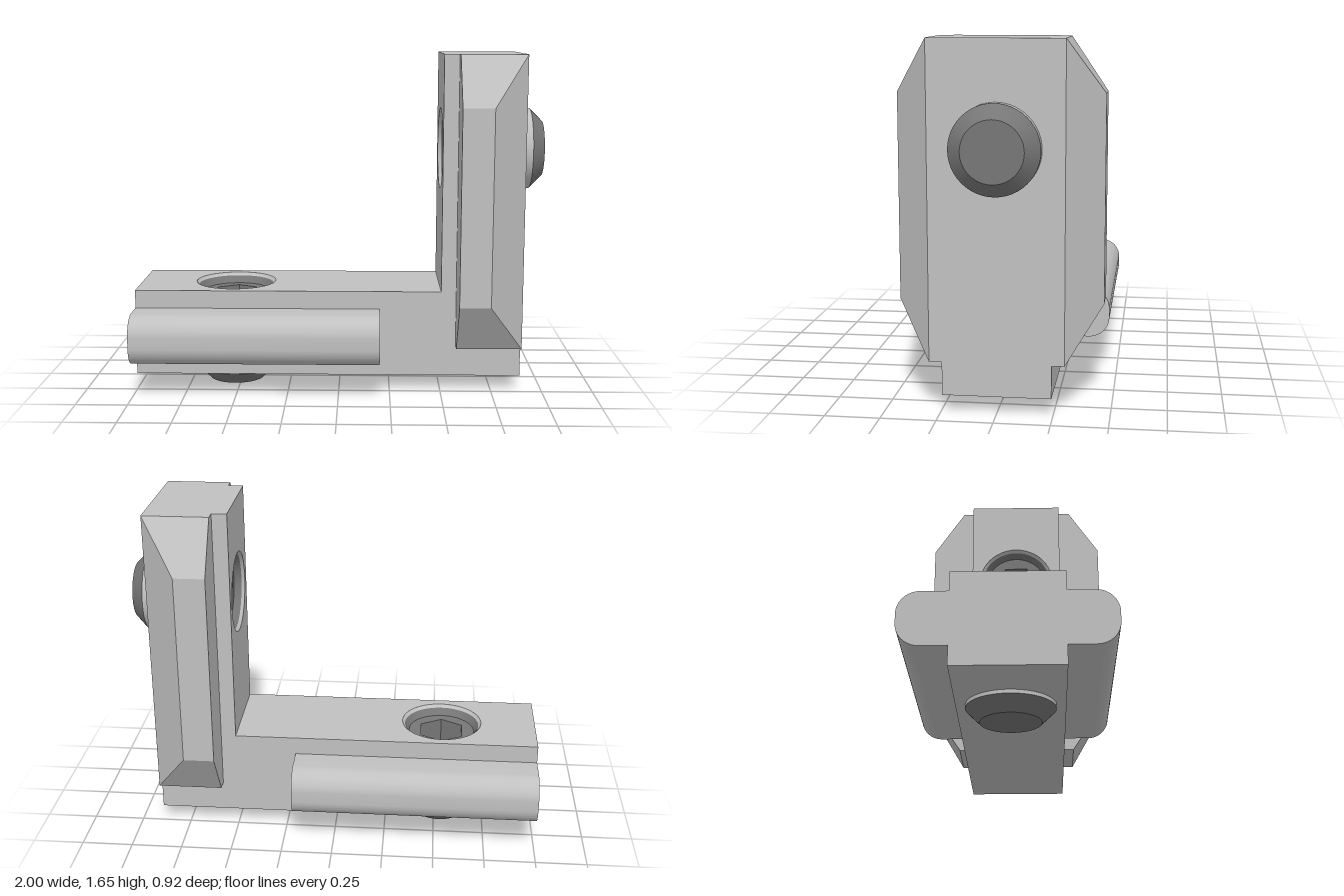
import * as THREE from 'three';
import { mergeGeometries, toCreasedNormals } from 'three/addons/utils/BufferGeometryUtils.js';
import { ConvexGeometry } from 'three/addons/geometries/ConvexGeometry.js';

const SCREW_R = 0.2;

function addMesh(parent, name, geometry, material) {
  const mesh = new THREE.Mesh(geometry, material);
  mesh.name = name;
  parent.add(mesh);
  return mesh;
}

// Rectangular plate with one screw hole, extruded along z
function drilledPlate(u0, u1, v0, v1, holeU, holeV, depth) {
  const shape = new THREE.Shape([[u0, v0], [u1, v0], [u1, v1], [u0, v1]].map(p => new THREE.Vector2(...p)));
  shape.holes.push(new THREE.Path().absarc(holeU, holeV, SCREW_R, 0, Math.PI * 2, true));
  return new THREE.ExtrudeGeometry(shape, { depth, bevelEnabled: false, curveSegments: 48 });
}

// Revolved bands with a sharp edge between each pair of profile points
function bands(profile, sides = 48) {
  const parts = [];
  for (let i = 0; i < profile.length - 1; i++) {
    const pts = [profile[i], profile[i + 1]].map(p => new THREE.Vector2(...p));
    let g = new THREE.LatheGeometry(pts, sides).toNonIndexed();
    if (sides < 12) g.computeVertexNormals();
    parts.push(g);
  }
  return mergeGeometries(parts);
}

// Set screw: top face at y = 0, pointed end at y = -0.5
function createScrew(bodyMat, screwMat) {
  const screw = new THREE.Group();
  screw.name = 'setScrew';
  addMesh(screw, 'shank', bands([[SCREW_R, -0.437], [SCREW_R, 0], [0.187, -0.015]]), bodyMat);
  addMesh(screw, 'screwTip', bands([[0, -0.5], [0.137, -0.5], [SCREW_R, -0.437]]), screwMat);
  addMesh(screw, 'headChamfer', bands([[0.187, -0.015], [0.165, -0.05]]), screwMat);

  // Head face with hexagonal socket
  const face = new THREE.Shape().absarc(0, 0, 0.165, 0, Math.PI * 2);
  const hex = [];
  for (let i = 0; i < 6; i++) {
    const a = i * Math.PI / 3;
    hex.push(new THREE.Vector2(0.12 * Math.sin(a), 0.12 * Math.cos(a)));
  }
  face.holes.push(new THREE.Path(hex));
  const head = new THREE.ShapeGeometry(face, 48).rotateX(-Math.PI / 2).translate(0, -0.05, 0);
  addMesh(screw, 'headFace', head, screwMat);
  addMesh(screw, 'hexSocket', bands([[0.12, -0.05], [0.12, -0.17], [0, -0.21]], 6), screwMat);
  return screw;
}

export function createModel() {
  const model = new THREE.Group();
  model.name = 'cornerBracket';
  const bodyMat = new THREE.MeshStandardMaterial({ color: 0xc0c0c0 });
  bodyMat.name = 'light grey metal';
  const screwMat = new THREE.MeshStandardMaterial({ color: 0x777777 });
  screwMat.name = 'dark grey steel';

  // Horizontal and upright arms
  addMesh(model, 'horizontalArm',
    drilledPlate(-1, 0.89, -0.243, 0.243, -0.527, 0, 0.42).rotateX(-Math.PI / 2).translate(0, 0.08, 0), bodyMat);
  addMesh(model, 'uprightArm',
    drilledPlate(-0.243, 0.243, 0.5, 1.65, 0, 1.18, 0.39).rotateY(Math.PI / 2).translate(0.5, 0, 0), bodyMat);

  // Rounded side rail section, mirrored by half a turn about x
  const r = 0.1, h = 0.122, out = -0.462;
  const section = new THREE.Shape();
  section.moveTo(-0.243, -h);
  section.lineTo(-0.243, h);
  section.lineTo(out + r, h);
  section.absarc(out + r, h - r, r, Math.PI / 2, Math.PI, false);
  section.lineTo(out, r - h);
  section.absarc(out + r, r - h, r, Math.PI, Math.PI * 1.5, false);
  const rail = toCreasedNormals(
    new THREE.ExtrudeGeometry(section, { depth: 1.2, bevelEnabled: false, curveSegments: 12 }), 0.5);
  rail.rotateY(Math.PI / 2).translate(-1, 0, 0);

  for (const s of [1, -1]) {
    const railMesh = addMesh(model, s > 0 ? 'frontRail' : 'backRail', rail, bodyMat);
    railMesh.position.y = 0.29;
    if (s < 0) railMesh.rotation.x = Math.PI;

    // Tapered flange beside the upright arm
    const pts = [];
    for (const [x, y0, y1, z] of [
      [0.573, 0.23, 1.65, 0.243], [0.89, 0.23, 1.65, 0.243],
      [0.573, 0.23, 1.65, 0.3], [0.89, 0.23, 1.65, 0.3],
      [0.573, 0.472, 1.408, 0.462], [0.722, 0.472, 1.408, 0.462],
    ]) pts.push(new THREE.Vector3(x, y0, s * z), new THREE.Vector3(x, y1, s * z));
    addMesh(model, s > 0 ? 'frontFlange' : 'backFlange', new ConvexGeometry(pts), bodyMat);
  }

  // One screw through each arm
  const lower = createScrew(bodyMat, screwMat);
  lower.name = 'lowerScrew';
  lower.position.set(-0.527, 0.5, 0);
  const upper = createScrew(bodyMat, screwMat);
  upper.name = 'upperScrew';
  upper.position.set(0.5, 1.18, 0);
  upper.rotation.z = Math.PI / 2;
  model.add(lower, upper);
  return model;
}
